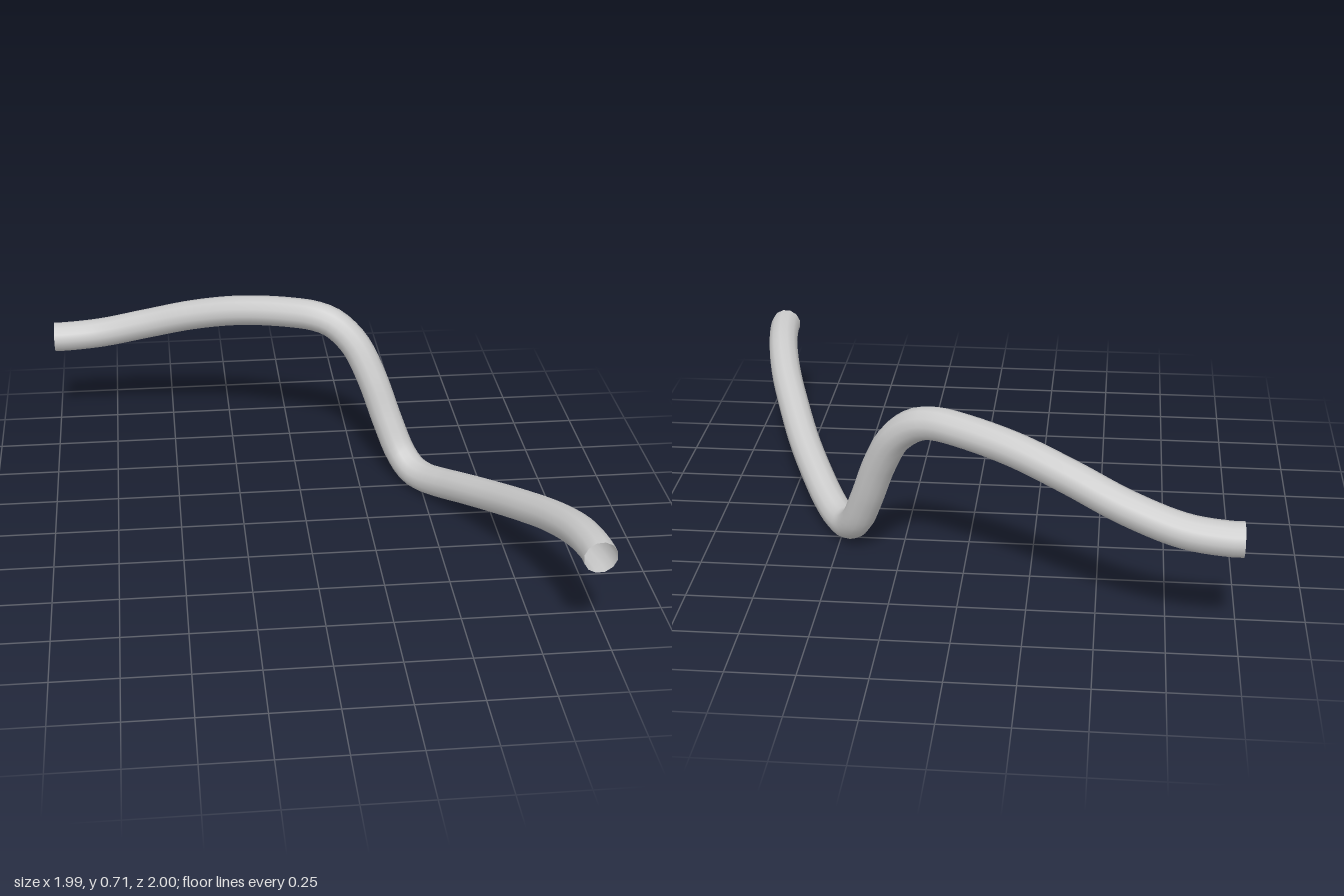
import * as THREE from 'three';

export function createModel() {
  const group = new THREE.Group();

  // Centre line of the bent pipe; each end leaves square to its own axis
  const points = [
    [-1, 0.43, -0.938], [-0.96, 0.43, -0.938], [-0.8, 0.447, -0.927], [-0.6, 0.503, -0.88],
    [-0.4, 0.572, -0.80], [-0.2, 0.625, -0.706], [0, 0.649, -0.61], [0.1, 0.648, -0.562],
    [0.17, 0.625, -0.53], [0.25, 0.55, -0.487], [0.315, 0.42, -0.437], [0.375, 0.25, -0.381],
    [0.425, 0.125, -0.325], [0.465, 0.075, -0.265], [0.51, 0.067, -0.2], [0.57, 0.092, -0.1],
    [0.622, 0.126, 0], [0.715, 0.194, 0.2], [0.792, 0.264, 0.4], [0.86, 0.33, 0.6],
    [0.908, 0.381, 0.8], [0.929, 0.4, 0.96], [0.93, 0.4, 1],
  ].map((p) => new THREE.Vector3(...p));
  const path = new THREE.CatmullRomCurve3(points);

  // Hollow pipe, open at both ends
  const pipe = new THREE.Mesh(
    new THREE.TubeGeometry(path, 96, 0.062, 12, false),
    new THREE.MeshStandardMaterial({ color: 0xcccccc, side: THREE.DoubleSide }),
  );
  pipe.name = 'bentPipe';
  group.add(pipe);
  return group;
}
